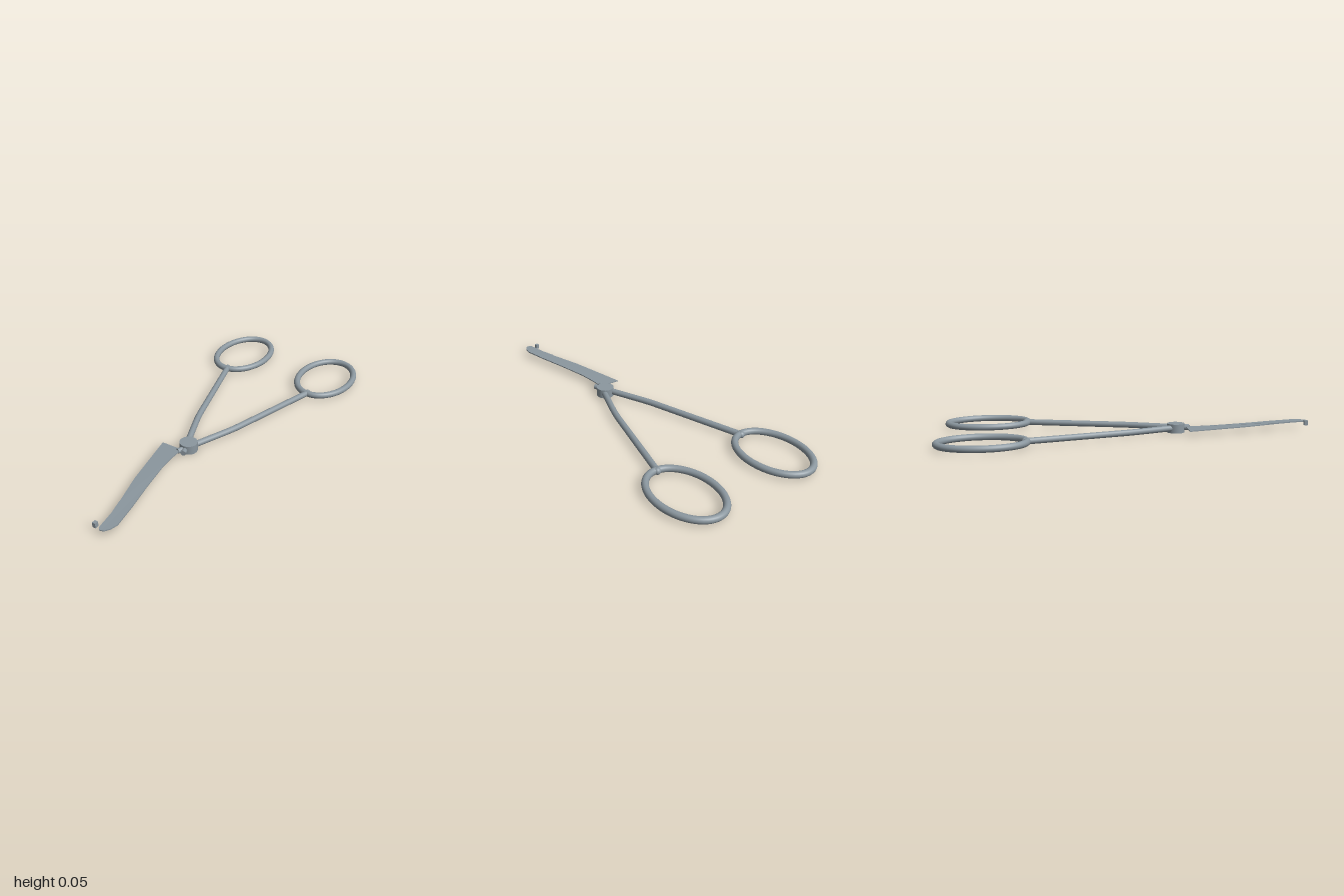
import * as THREE from 'three';

const V = (x, y, z) => new THREE.Vector3(x, y, z);
const MID = 0.0255; // height of the handle centre line

export function createModel() {
  const steel = new THREE.MeshStandardMaterial({ color: 0x8b979f });
  steel.name = 'steel grey';
  const group = new THREE.Group();
  const add = (name, geometry, x = 0, y = 0, z = 0) => {
    const mesh = new THREE.Mesh(geometry, steel);
    mesh.name = name;
    mesh.position.set(x, y, z);
    group.add(mesh);
    return mesh;
  };

  // Oval finger loop path
  class Oval extends THREE.Curve {
    getPoint(t, target = V(0, 0, 0)) {
      const a = t * Math.PI * 2;
      return target.set(0.149 * Math.cos(a), 0, 0.218 * Math.sin(a));
    }
  }

  for (const [s, side] of [[1, 'left'], [-1, 'right']]) {
    add(side + 'FingerLoop', new THREE.TubeGeometry(new Oval(), 64, 0.0175, 16, true), s * 0.28, MID, -0.765);

    // Shank with a soft bend, running into the pivot
    const path = new THREE.CurvePath();
    path.add(new THREE.LineCurve3(V(s * 0.27, MID, -0.555), V(s * 0.125, MID, -0.05)));
    path.add(new THREE.QuadraticBezierCurve3(V(s * 0.125, MID, -0.05), V(s * 0.11, MID, 0), V(s * 0.09, MID, 0.05)));
    path.add(new THREE.LineCurve3(V(s * 0.09, MID, 0.05), V(s * 0.012, MID, 0.245)));
    add(side + 'Shank', new THREE.TubeGeometry(path, 40, 0.0165, 14));
    add(side + 'ShankEnd', new THREE.SphereGeometry(0.0185, 16, 12), s * 0.27, MID, -0.555);

    // Blade tang, crossing over to the other side of the pivot
    const tang = add(side + 'Tang', new THREE.CylinderGeometry(0.014, 0.014, 0.09, 14), s * -0.002, MID, 0.276);
    tang.quaternion.setFromUnitVectors(V(0, 1, 0), V(s * -0.35, 0, 0.94).normalize());
  }

  // Pivot boss
  add('pivot', new THREE.CylinderGeometry(0.047, 0.047, 0.048, 32), 0, 0.024, 0.245);

  // Blades: outlines in x and z, tilted slightly so that they cross
  const cuttingEdge = [[-0.006, 0.3], [-0.005, 0.38], [0.003, 0.47], [0.036, 0.64], [0.072, 0.8], [0.096, 0.93]];
  const tip = [[0.087, 0.97], [0.07, 0.995], [0.05, 1], [0.038, 0.985]];
  const blade = (name, outline, heightAt) => {
    const shape = new THREE.Shape(outline.map(([x, z]) => new THREE.Vector2(x, z)));
    const g = new THREE.ExtrudeGeometry(shape, { depth: 0.005, bevelEnabled: false });
    g.rotateX(Math.PI / 2);
    const p = g.attributes.position;
    for (let i = 0; i < p.count; i++) p.setY(i, p.getY(i) + heightAt(p.getX(i), p.getZ(i)));
    g.computeVertexNormals();
    add(name, g);
  };
  blade('broadBlade',
    [[-0.125, 0.298], ...cuttingEdge, ...tip, [0.02, 0.88], [-0.004, 0.79], [-0.055, 0.62], [-0.09, 0.46]],
    (x, z) => 0.031 + 0.025 * x + 0.009 * (z - 0.3));
  blade('narrowBlade',
    [...cuttingEdge, ...tip, [0.02, 0.88], [-0.002, 0.8], [-0.004, 0.5]],
    (x, z) => 0.031 - 0.01 * x + 0.012 * (z - 0.3));

  // Small block beside the blade tip
  add('tipBlock', new THREE.BoxGeometry(0.018, 0.026, 0.02), 0.007, 0.033, 0.977);

  return group;
}
